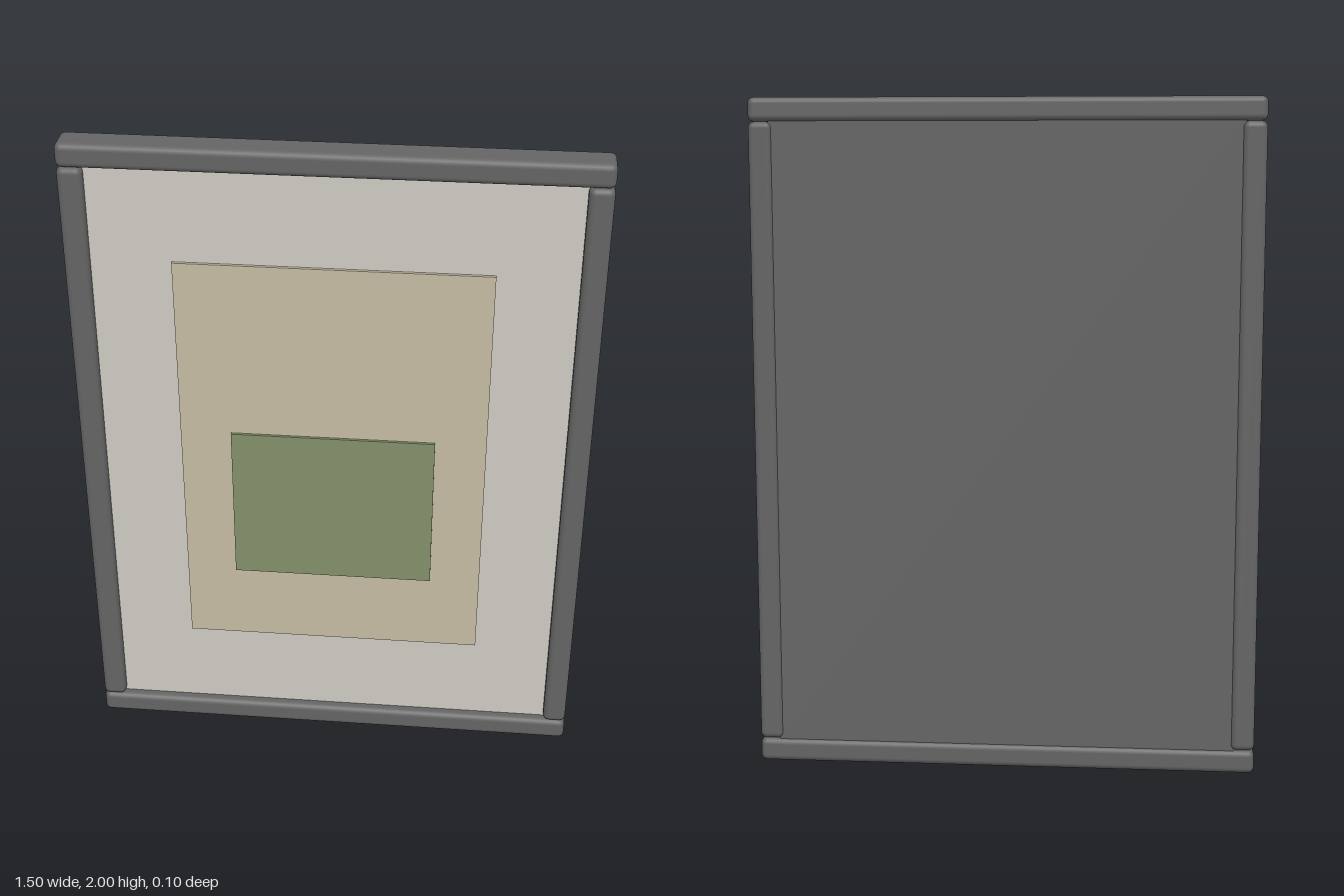
import * as THREE from 'three';
import { RoundedBoxGeometry } from 'three/addons/geometries/RoundedBoxGeometry.js';

function material(name, color) {
  const m = new THREE.MeshStandardMaterial({ color });
  m.name = name;
  return m;
}

export function createModel() {
  const group = new THREE.Group();
  group.name = 'framedPicture';

  const frame = material('dark grey frame', 0x646464);
  const paper = material('pale mount', 0xcecbc4);
  const tan = material('tan print', 0xc5bba3);
  const green = material('green field', 0x82906a);

  const add = (name, geometry, mat, x, y, z) => {
    const mesh = new THREE.Mesh(geometry, mat);
    mesh.name = name;
    mesh.position.set(x, y, z);
    group.add(mesh);
  };
  // Flat slab spanning z0 (back) to z1 (front)
  const slab = (name, mat, w, h, y, z0, z1) =>
    add(name, new THREE.BoxGeometry(w, h, z1 - z0), mat, 0, y, (z0 + z1) / 2);

  // Soft-edged frame: rails run full width, posts fit between them
  const bar = 0.07, depth = 0.1, radius = 0.018;
  const rail = new RoundedBoxGeometry(1.5, bar, depth, 3, radius);
  const post = new RoundedBoxGeometry(bar, 2 - 2 * bar, depth, 3, radius);
  add('topRail', rail, frame, 0, 2 - bar / 2, 0);
  add('bottomRail', rail, frame, 0, bar / 2, 0);
  add('leftPost', post, frame, 0.75 - bar / 2, 1, 0);
  add('rightPost', post, frame, -0.75 + bar / 2, 1, 0);

  // Backing board and pale mount set inside the frame
  slab('backingBoard', frame, 1.38, 1.88, 1, -0.04, 0.012);
  slab('mount', paper, 1.38, 1.88, 1, 0.012, 0.02);

  // Layered artwork
  slab('print', tan, 0.9, 1.3, 1, 0.02, 0.029);
  slab('greenField', green, 0.6, 0.5, 0.85, 0.029, 0.037);

  return group;
}
